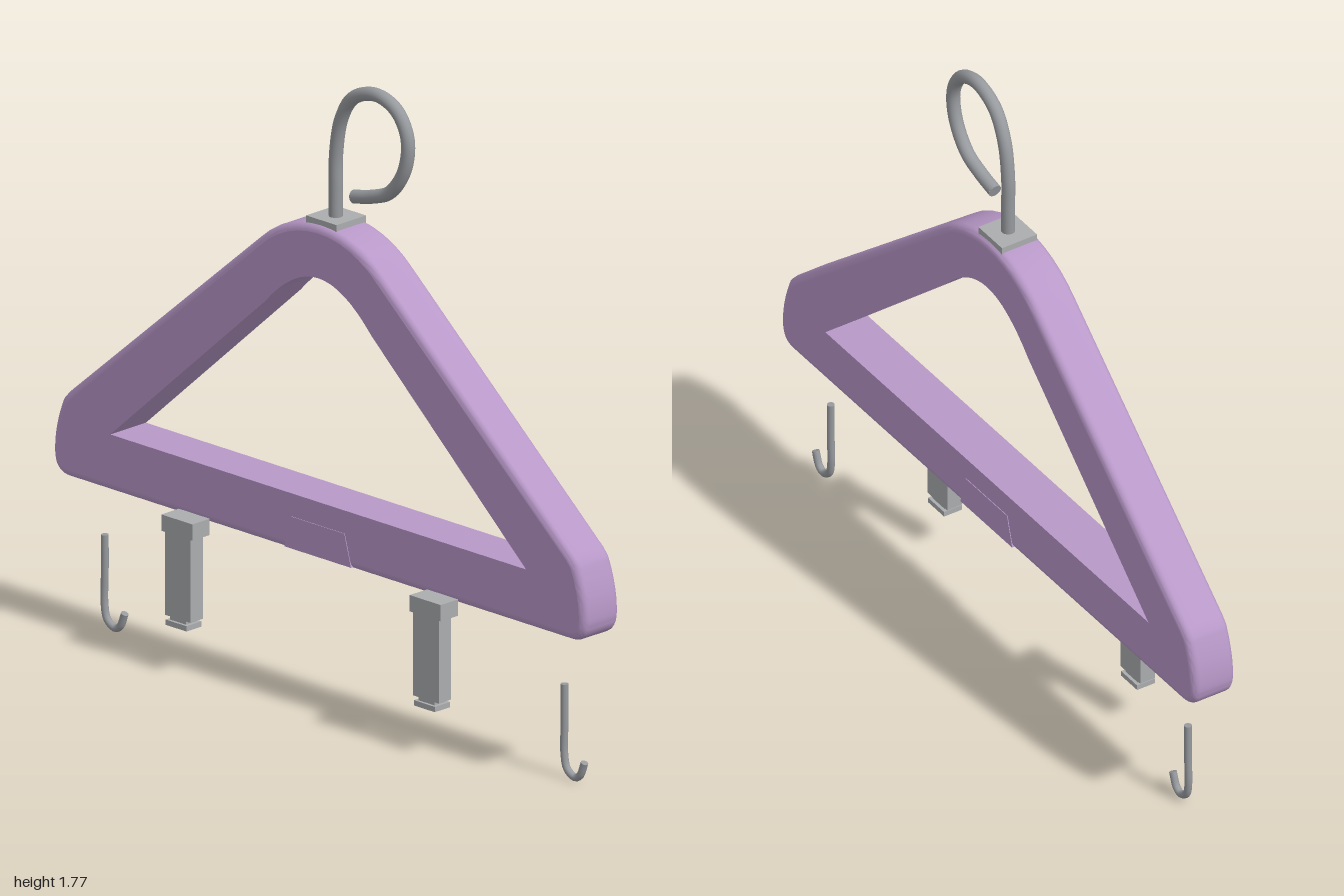
import * as THREE from 'three';
import { toCreasedNormals } from 'three/addons/utils/BufferGeometryUtils.js';

const lavender = new THREE.MeshStandardMaterial({ name: 'lavender plastic', color: 0xb898c8 });
const steel = new THREE.MeshStandardMaterial({ name: 'steel wire', color: 0x979a9e });
const metal = new THREE.MeshStandardMaterial({ name: 'clip metal', color: 0xaaacae });

const BACK = -0.1, FRONT = 0.035, BEVEL = 0.022, MID = -0.033;

function add(group, name, geometry, material, x = 0, y = 0, z = 0) {
  const mesh = new THREE.Mesh(geometry, material);
  mesh.name = name;
  mesh.position.set(x, y, z);
  group.add(mesh);
  return mesh;
}

// Box given by its limits on each axis
function box(group, name, material, x0, x1, y0, y1, z0, z1) {
  return add(group, name, new THREE.BoxGeometry(x1 - x0, y1 - y0, z1 - z0), material,
    (x0 + x1) / 2, (y0 + y1) / 2, (z0 + z1) / 2);
}

// Round wire along a path, with flat ends
function wire(name, points, radius, segments, material) {
  const group = new THREE.Group();
  group.name = name;
  const curve = new THREE.CatmullRomCurve3(points.map(p => new THREE.Vector3(...p)));
  add(group, name + 'Wire', new THREE.TubeGeometry(curve, segments, radius, 16), material);
  for (const t of [0, 1]) {
    const end = curve.getPoint(t);
    const out = curve.getTangent(t).multiplyScalar(t ? 1 : -1);
    const cap = add(group, name + 'End', new THREE.CircleGeometry(radius, 16), material, end.x, end.y, end.z);
    cap.lookAt(end.clone().add(out));
  }
  return group;
}

// Outer outline of the frame, anticlockwise
function outerOutline() {
  const s = new THREE.Shape();
  s.moveTo(-0.94, 0.422);
  s.lineTo(0.94, 0.422);
  s.bezierCurveTo(0.98, 0.422, 1, 0.445, 1, 0.49);
  s.quadraticCurveTo(1, 0.56, 0.965, 0.64);
  s.lineTo(0.945, 0.662);
  s.lineTo(0.235, 1.268);
  s.bezierCurveTo(0.1, 1.393, -0.1, 1.393, -0.235, 1.268);
  s.lineTo(-0.945, 0.662);
  s.lineTo(-0.965, 0.64);
  s.quadraticCurveTo(-1, 0.56, -1, 0.49);
  s.bezierCurveTo(-1, 0.445, -0.98, 0.422, -0.94, 0.422);
  const pts = s.getPoints(12);
  return pts.filter((p, i) => p.distanceTo(pts[(i + 1) % pts.length]) > 1e-5);
}

// Opening of the frame, anticlockwise
function innerOutline() {
  const s = new THREE.Shape();
  s.moveTo(-0.78, 0.583);
  s.lineTo(0.78, 0.583);
  s.lineTo(0.2, 1.1);
  s.bezierCurveTo(0.06, 1.252, -0.06, 1.252, -0.2, 1.1);
  s.lineTo(-0.78, 0.583);
  return s.getPoints(16).slice(0, -1);
}

// Move every point of an outline inwards along its mitre
function inset(pts, d) {
  return pts.map((p, i) => {
    const a = pts[(i + pts.length - 1) % pts.length], b = pts[(i + 1) % pts.length];
    const u = p.clone().sub(a).normalize(), v = b.clone().sub(p).normalize();
    const n = new THREE.Vector2(-u.y - v.y, u.x + v.x).normalize();
    return p.clone().addScaledVector(n, d / Math.max(0.6, n.dot(new THREE.Vector2(-u.y, u.x))));
  });
}

// Wall through rings of equal length, running from back to front
function wall(rings, inward) {
  const pos = [], idx = [], n = rings[0].pts.length;
  for (const r of rings) for (const p of r.pts) pos.push(p.x, p.y, r.z);
  for (let k = 0; k < rings.length - 1; k++) {
    for (let i = 0; i < n; i++) {
      const a = k * n + i, b = k * n + (i + 1) % n, c = b + n, d = a + n;
      if (inward) idx.push(a, c, b, a, d, c);
      else idx.push(a, b, c, a, c, d);
    }
  }
  const g = new THREE.BufferGeometry();
  g.setAttribute('position', new THREE.Float32BufferAttribute(pos, 3));
  g.setIndex(idx);
  return toCreasedNormals(g, 0.6);
}

function buildFrame() {
  const frame = new THREE.Group();
  frame.name = 'frame';
  const outer = outerOutline(), inner = innerOutline();

  // Outer side with rounded edges
  const rings = [], steps = 5;
  for (let i = 0; i <= steps; i++) {
    const a = (i / steps) * Math.PI / 2;
    rings.push({ pts: inset(outer, BEVEL * (1 - Math.sin(a))), z: BACK + BEVEL * (1 - Math.cos(a)) });
  }
  for (let i = steps; i >= 0; i--) {
    rings.push({ pts: rings[i].pts, z: FRONT + BACK - rings[i].z });
  }
  add(frame, 'outerSide', wall(rings, false), lavender);

  // Inner side of the opening
  add(frame, 'innerSide', wall([{ pts: inner, z: BACK }, { pts: inner, z: FRONT }], true), lavender);

  // Flat front and back faces
  const face = new THREE.Shape(rings[0].pts);
  face.holes.push(new THREE.Path(inner));
  const faceGeometry = new THREE.ShapeGeometry(face);
  add(frame, 'frontFace', faceGeometry, lavender, 0, 0, FRONT);
  // The outline is symmetric, so a half turn gives the back
  add(frame, 'backFace', faceGeometry, lavender, 0, 0, BACK).rotation.y = Math.PI;

  // Square-edged panel set into the bottom bar
  const panel = new THREE.Shape([[-0.125, 0.428], [0.125, 0.428], [0.1, 0.518], [-0.1, 0.518]]
    .map(p => new THREE.Vector2(...p)));
  add(frame, 'centrePanel',
    new THREE.ExtrudeGeometry(panel, { depth: FRONT - BACK + 0.004, bevelEnabled: false }),
    lavender, 0, 0, BACK - 0.002);
  return frame;
}

function buildClip(x) {
  const clip = new THREE.Group();
  clip.name = 'clip';
  box(clip, 'clipHead', metal, -0.058, 0.058, 0.39, 0.436, 0.034, 0.1);
  box(clip, 'clipArm', metal, -0.048, 0.048, 0.155, 0.39, 0.05, 0.097);
  box(clip, 'clipNeck', metal, -0.03, 0.03, 0.14, 0.155, 0.055, 0.095);
  box(clip, 'clipFoot', metal, -0.039, 0.039, 0.13, 0.145, 0.046, 0.103);
  clip.position.x = x;
  return clip;
}

export function createModel() {
  const model = new THREE.Group();
  model.name = 'clothesHanger';
  model.add(buildFrame());

  // Top hook and its base plate
  box(model, 'hookPlate', metal, -0.058, 0.056, 1.35, 1.374, -0.09, 0.022);
  model.add(wire('topHook', [
    [0, 1.36, -0.032], [0, 1.46, -0.032], [0.002, 1.55, -0.031], [0.025, 1.655, -0.028],
    [0.075, 1.727, -0.024], [0.165, 1.757, -0.021], [0.24, 1.73, -0.021], [0.28, 1.66, -0.021],
    [0.269, 1.57, -0.021], [0.215, 1.495, -0.021], [0.15, 1.467, -0.021], [0.08, 1.45, -0.021],
  ], 0.019, 80, steel));

  // Clips under the bar
  for (const x of [-0.466, 0.466]) model.add(buildClip(x));

  // Small side hooks, both opening towards +x
  for (const x of [-0.864, 0.861]) {
    const hook = wire('sideHook', [
      [0, 0.265, -0.029], [0, 0.16, -0.029], [0, 0.07, -0.028], [0.012, 0.03, -0.026],
      [0.042, 0.012, -0.025], [0.062, 0.022, -0.025], [0.079, 0.062, -0.025],
    ], 0.0105, 40, steel);
    hook.position.x = x;
    model.add(hook);
  }
  return model;
}
